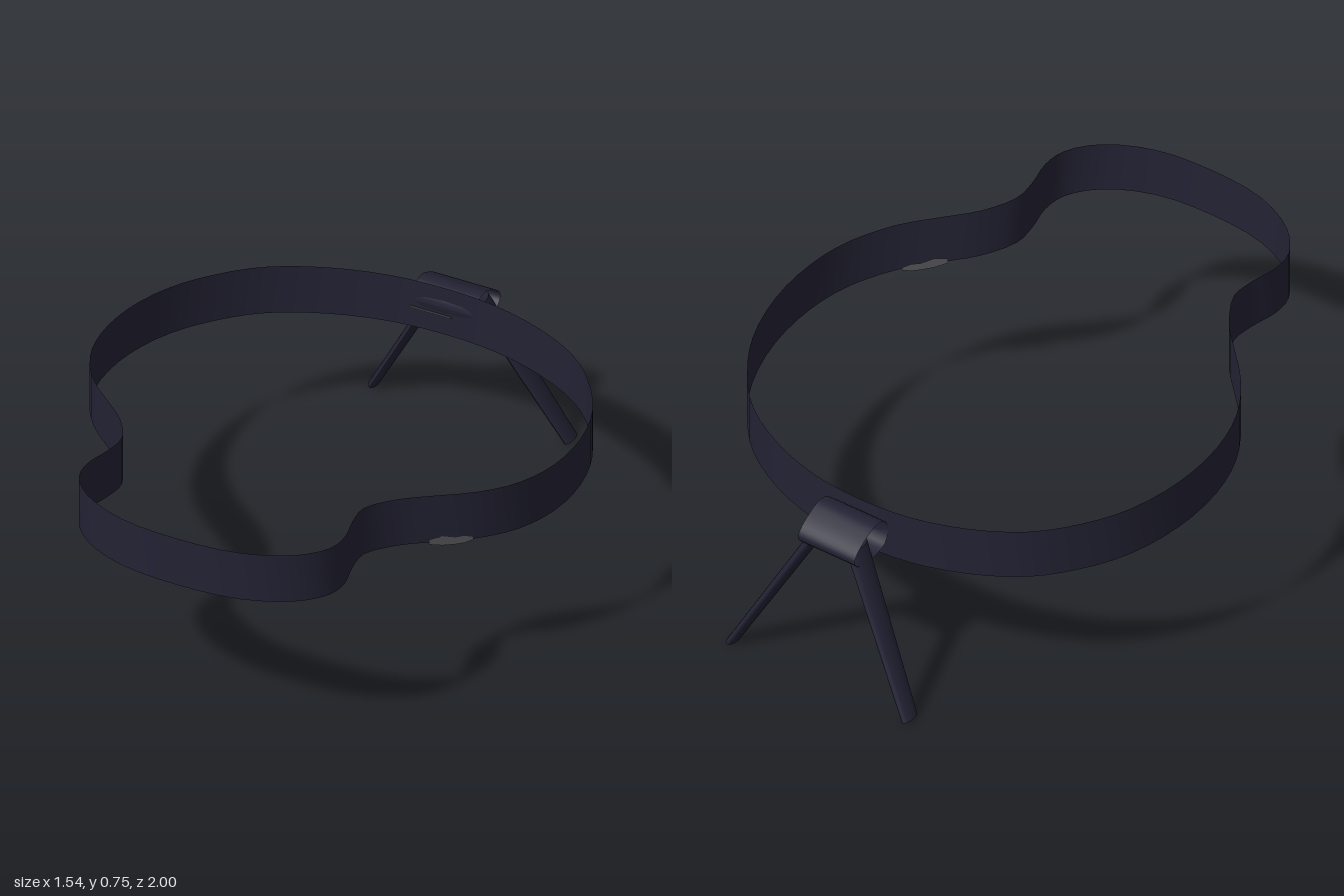
import * as THREE from 'three';

// Rim height as a function of z: [z, y of the upper edge]
const RISE = [[-0.78, 0.57], [-0.4, 0.602], [0, 0.642], [0.2, 0.665], [0.38, 0.693],
  [0.56, 0.718], [0.8, 0.731], [1, 0.745]];
const BAND = 0.17;

function topY(z) {
  let i = 0;
  while (i < RISE.length - 2 && z > RISE[i + 1][0]) i++;
  const [z0, y0] = RISE[i], [z1, y1] = RISE[i + 1];
  return y0 + (y1 - y0) * (z - z0) / (z1 - z0);
}

// Vertical ribbon along plan points; low/high give its edges at each point
function ribbon(points, low, high) {
  const pos = [], idx = [];
  points.forEach((p, i) => {
    pos.push(p.x, low(p, i), p.z, p.x, high(p, i), p.z);
    if (i) {
      const a = 2 * i - 2;
      idx.push(a, a + 2, a + 1, a + 1, a + 2, a + 3);
    }
  });
  const g = new THREE.BufferGeometry();
  g.setAttribute('position', new THREE.Float32BufferAttribute(pos, 3));
  g.setIndex(idx);
  g.computeVertexNormals();
  return g;
}

export function createModel() {
  const group = new THREE.Group();
  const dark = new THREE.MeshStandardMaterial({ color: 0x232234, side: THREE.DoubleSide });
  dark.name = 'dark navy';
  const grey = new THREE.MeshStandardMaterial({ color: 0x58585c, side: THREE.DoubleSide });
  grey.name = 'grey';
  const add = (name, geometry, material = dark) => {
    const mesh = new THREE.Mesh(geometry, material);
    mesh.name = name;
    group.add(mesh);
    return mesh;
  };

  // Pear-shaped plan: narrow lobe in front, wide body behind; half is mirrored
  const half = [[0, 1], [0.2, 0.98], [0.35, 0.91], [0.425, 0.82], [0.435, 0.74], [0.415, 0.65],
    [0.41, 0.565], [0.47, 0.46], [0.55, 0.38], [0.65, 0.28], [0.73, 0.15], [0.768, 0],
    [0.765, -0.18], [0.715, -0.36], [0.63, -0.5], [0.52, -0.615], [0.36, -0.705],
    [0.18, -0.76], [0, -0.775]];
  const mirrored = half.slice(1, -1).reverse().map(([x, z]) => [-x, z]);
  const outline = new THREE.CatmullRomCurve3(
    [...half, ...mirrored].map(([x, z]) => new THREE.Vector3(x, 0, z)), true);
  add('rimBand', ribbon(outline.getPoints(108), p => topY(p.z) - BAND, p => topY(p.z)));

  // Small grey patch on both faces of the rim's left side
  for (const off of [-0.005, 0.005]) {
    const pts = [[0.54, 0.39], [0.57, 0.36], [0.6, 0.33], [0.62, 0.31], [0.64, 0.29]]
      .map(([x, z]) => new THREE.Vector3(x + off * 0.7, 0, z + off * 0.7));
    add('rimPatch', ribbon(pts, (p, i) => [0.52, 0.508, 0.503, 0.502, 0.508][i],
      (p, i) => [0.538, 0.542, 0.528, 0.528, 0.518][i]), grey);
  }

  // Thin grey line on the inside of the rear rim
  const line = add('rearLine', new THREE.BoxGeometry(0.14, 0.005, 0.004), grey);
  line.position.set(-0.04, 0.478, -0.762);

  // Open-ended sleeve behind the rim
  const section = new THREE.CatmullRomCurve3(
    [[-0.77, 0.5], [-0.785, 0.538], [-0.83, 0.552], [-0.875, 0.535], [-0.925, 0.502],
      [-0.94, 0.475], [-0.92, 0.447], [-0.86, 0.438], [-0.79, 0.455]]
      .map(([z, y]) => new THREE.Vector3(0, y, z)), true).getPoints(28);
  const pos = [], idx = [];
  section.forEach((p, i) => {
    pos.push(-0.107, p.y, p.z, 0.107, p.y, p.z);
    if (i) {
      const a = 2 * i - 2;
      idx.push(a, a + 1, a + 2, a + 1, a + 3, a + 2);
    }
  });
  const sleeve = new THREE.BufferGeometry();
  sleeve.setAttribute('position', new THREE.Float32BufferAttribute(pos, 3));
  sleeve.setIndex(idx);
  sleeve.computeVertexNormals();
  add('sleeve', sleeve);

  // Splayed, flattened legs tapering toward the feet
  const leg = new THREE.CylinderGeometry(1, 1, 1, 16);
  const v = leg.attributes.position;
  for (let i = 0; i < v.count; i++) {
    const t = v.getY(i) + 0.5;
    const x = v.getX(i), z = v.getZ(i);
    v.setXYZ(i,
      0.333 - 0.265 * t + x * (0.014 + 0.006 * t),
      0.004 + 0.483 * t + x * 0.004 * (1 - t),
      -0.964 + 0.086 * t + z * (0.034 + 0.012 * t));
  }
  leg.computeVertexNormals();
  add('leftLeg', leg);
  add('rightLeg', leg).scale.x = -1;

  return group;
}
